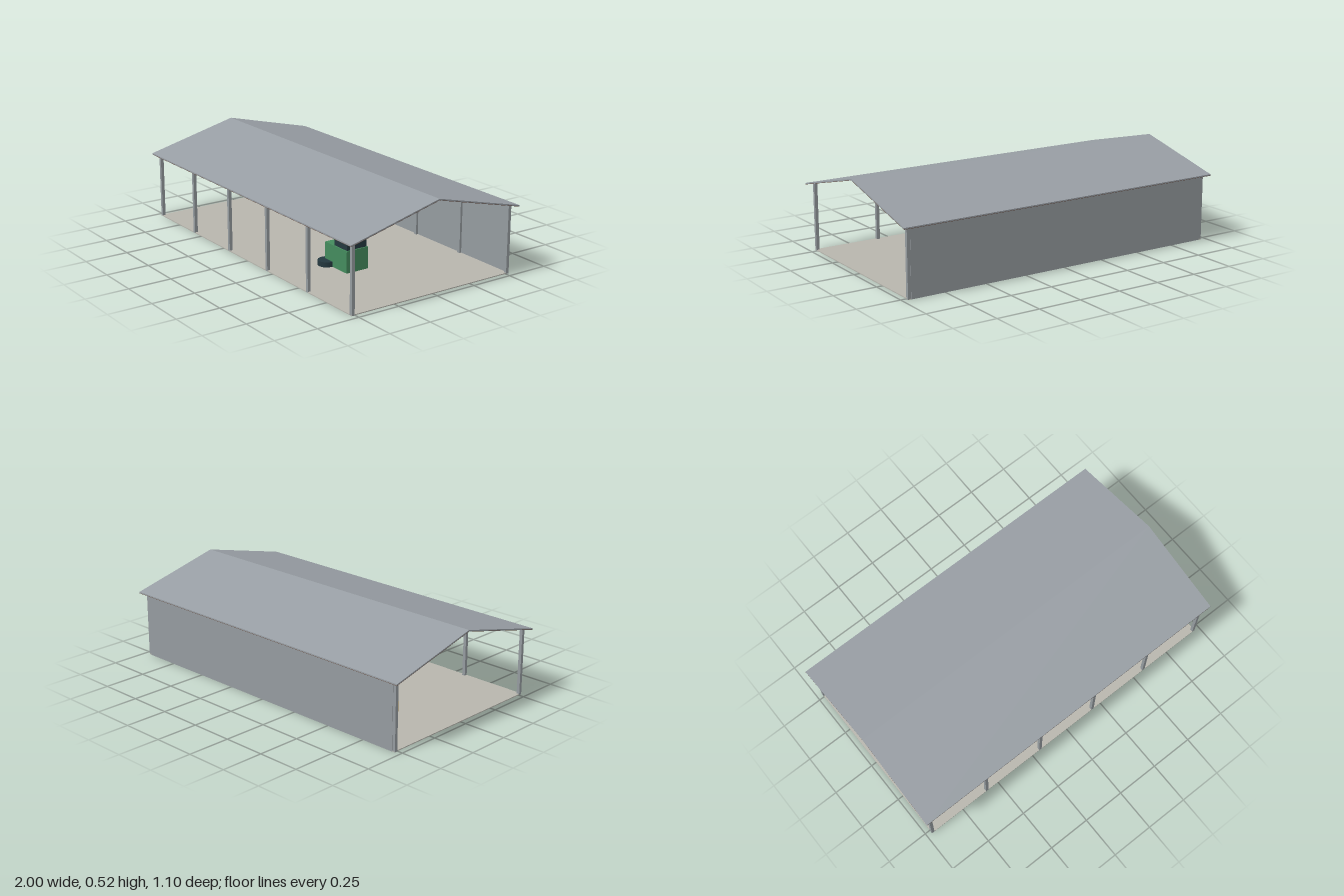
import * as THREE from 'three';

const mat = (name, color, side = THREE.FrontSide) => {
  const m = new THREE.MeshStandardMaterial({ color, side });
  m.name = name;
  return m;
};

export function createModel() {
  const roofSteel = mat('roof steel', 0x989ea4);
  const wallSteel = mat('wall steel', 0x959b9f);
  const timber = mat('brown timber', 0x6b5347);
  const concrete = mat('concrete', 0xb7b5ad);
  const straw = mat('straw', 0xbba063);
  const green = mat('green paint', 0x448b5d);
  const dark = mat('dark rubber and glass', 0x24383f);

  const barn = new THREE.Group();
  barn.name = 'openBarn';

  const add = (name, geo, material, parent = barn) => {
    const mesh = new THREE.Mesh(geo, material);
    mesh.name = name;
    parent.add(mesh);
    return mesh;
  };
  // Box given by its minimum and maximum on each axis
  const box = (name, material, [x0, x1], [y0, y1], [z0, z1], parent) => {
    const mesh = add(name, new THREE.BoxGeometry(x1 - x0, y1 - y0, z1 - z0), material, parent);
    mesh.position.set((x0 + x1) / 2, (y0 + y1) / 2, (z0 + z1) / 2);
    return mesh;
  };

  // Floor slab
  const floorTop = 0.005;
  box('floor', concrete, [-0.967, 0.967], [0, floorTop], [-0.521, 0.521]);

  // Gabled roof: steel sheet over a thin timber lining
  const gable = (name, material, eave, ridge, thick) => {
    const half = 0.55;
    const profile = new THREE.Shape([
      new THREE.Vector2(-half, eave), new THREE.Vector2(0, ridge),
      new THREE.Vector2(half, eave), new THREE.Vector2(half, eave + thick),
      new THREE.Vector2(0, ridge + thick), new THREE.Vector2(-half, eave + thick),
    ]);
    const geo = new THREE.ExtrudeGeometry(profile, { depth: 2, bevelEnabled: false });
    geo.translate(0, 0, -1).rotateY(Math.PI / 2);
    return add(name, geo, material);
  };
  gable('roofSheet', roofSteel, 0.38, 0.516, 0.007);
  gable('roofLining', timber, 0.378, 0.514, 0.002);

  // Post rows and the closed back wall
  const bay = 0.384, w = 0.009, postTop = 0.387;
  for (let i = 0; i < 6; i++) {
    const x = -0.96 + i * bay;
    for (const z of [0.512, -0.512]) {
      box(z > 0 ? 'frontPost' : 'backPost', wallSteel, [x - w, x + w], [0, postTop], [z - w, z + w]);
    }
    if (i < 5) {
      const x0 = i === 0 ? x + w : x, x1 = i === 4 ? x + bay - w : x + bay;
      box('backWallPanel', wallSteel, [x0, x1], [0, 0.384], [-0.523, -0.516]);
    }
  }

  // Straw bales: a tall row with a low row behind
  const bales = new THREE.Group();
  bales.name = 'bales';
  barn.add(bales);
  for (const x of [-0.645, -0.476, -0.309]) {
    const span = [x - 0.076, x + 0.076];
    box('tallBale', straw, span, [floorTop, 0.155], [-0.293, -0.218], bales);
    box('lowBale', straw, span, [floorTop, 0.08], [-0.378, -0.302], bales);
  }

  // Tractor
  const tractor = new THREE.Group();
  tractor.name = 'tractor';
  barn.add(tractor);
  box('tractorBody', green, [0.285, 0.485], [floorTop, 0.13], [0.059, 0.2], tractor);
  box('tractorCab', dark, [0.362, 0.478], [0.13, 0.207], [0.065, 0.193], tractor);
  for (const z of [0.204, 0.055]) {
    add('tractorWheel', new THREE.CylinderGeometry(0.05, 0.05, 0.029, 20), dark, tractor)
      .position.set(0.306, 0.0195, z);
  }

  return barn;
}
